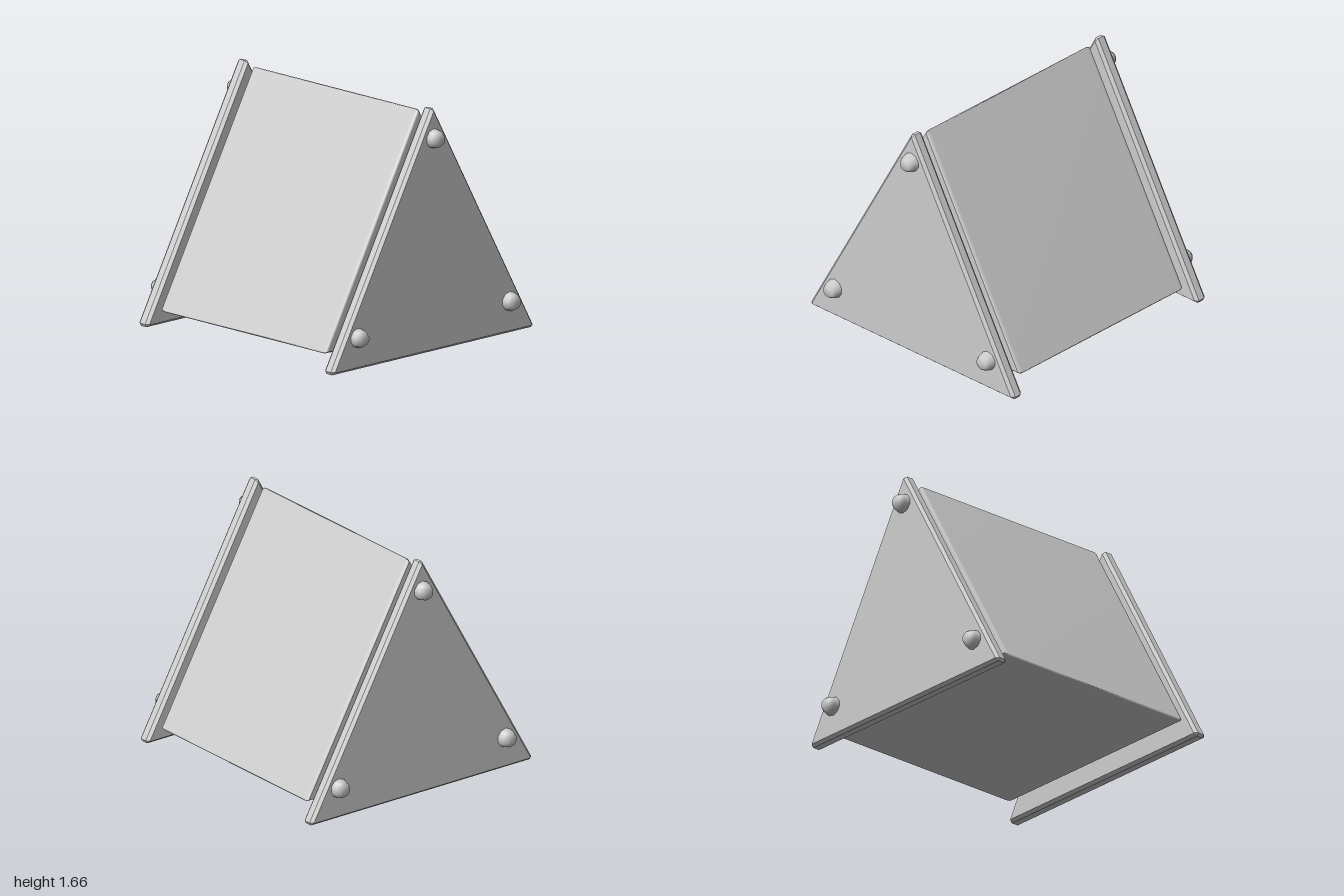
import * as THREE from 'three';
import { mergeVertices } from 'three/addons/utils/BufferGeometryUtils.js';

const grey = new THREE.MeshStandardMaterial({ color: 0xcccccc });
grey.name = 'lightGrey';

// Triangular prism along z with clipped corners and bevelled ends, centred on z = 0
function prism(halfWidth, y0, y1, clip, depth, bevelSize, bevelThickness, bevelSegments) {
  const corners = [[-halfWidth, y0], [halfWidth, y0], [0, y1]].map(([x, y]) => new THREE.Vector2(x, y));
  const points = [];
  corners.forEach((corner, i) => {
    for (const other of [corners[(i + 2) % 3], corners[(i + 1) % 3]]) {
      points.push(corner.clone().add(other.clone().sub(corner).setLength(clip)));
    }
  });
  const core = depth - 2 * bevelThickness;
  const geometry = new THREE.ExtrudeGeometry(new THREE.Shape(points), {
    depth: core, bevelEnabled: true, bevelSize, bevelThickness, bevelSegments, bevelOffset: -bevelSize,
  });
  return geometry.translate(0, 0, -core / 2);
}

function addMesh(parent, name, geometry) {
  const mesh = new THREE.Mesh(geometry, grey);
  mesh.name = name;
  parent.add(mesh);
  return mesh;
}

export function createModel() {
  const model = new THREE.Group();
  model.name = 'triangularPrism';

  // Central block with softly shaded edges
  let block = prism(0.863, 0.11, 1.643, 0.015, 1.58, 0.016, 0.03, 2);
  block.deleteAttribute('uv');
  block.deleteAttribute('normal');
  block = mergeVertices(block, 1e-4);
  block.computeVertexNormals();
  addMesh(model, 'block', block);

  // End plates, each with three studs on the outside
  const plate = prism(0.942, 0, 1.682, 0.024, 0.094, 0.018, 0.022, 1);
  const profile = [[0.067, 0], [0.058, 0.042], [0.04, 0.07], [0, 0.07]];
  const stud = new THREE.LatheGeometry(profile.map(([r, h]) => new THREE.Vector2(r, h)), 10);
  stud.rotateX(Math.PI / 2);
  for (const [side, turn] of [['front', 0], ['back', Math.PI]]) {
    const end = new THREE.Group();
    end.name = side + 'End';
    end.rotation.y = turn;
    addMesh(end, side + 'Plate', plate).position.z = 0.884;
    for (const [x, y] of [[0, 1.46], [-0.7, 0.22], [0.7, 0.22]]) {
      addMesh(end, side + 'Stud', stud).position.set(x, y, 0.93);
    }
    model.add(end);
  }
  return model;
}
